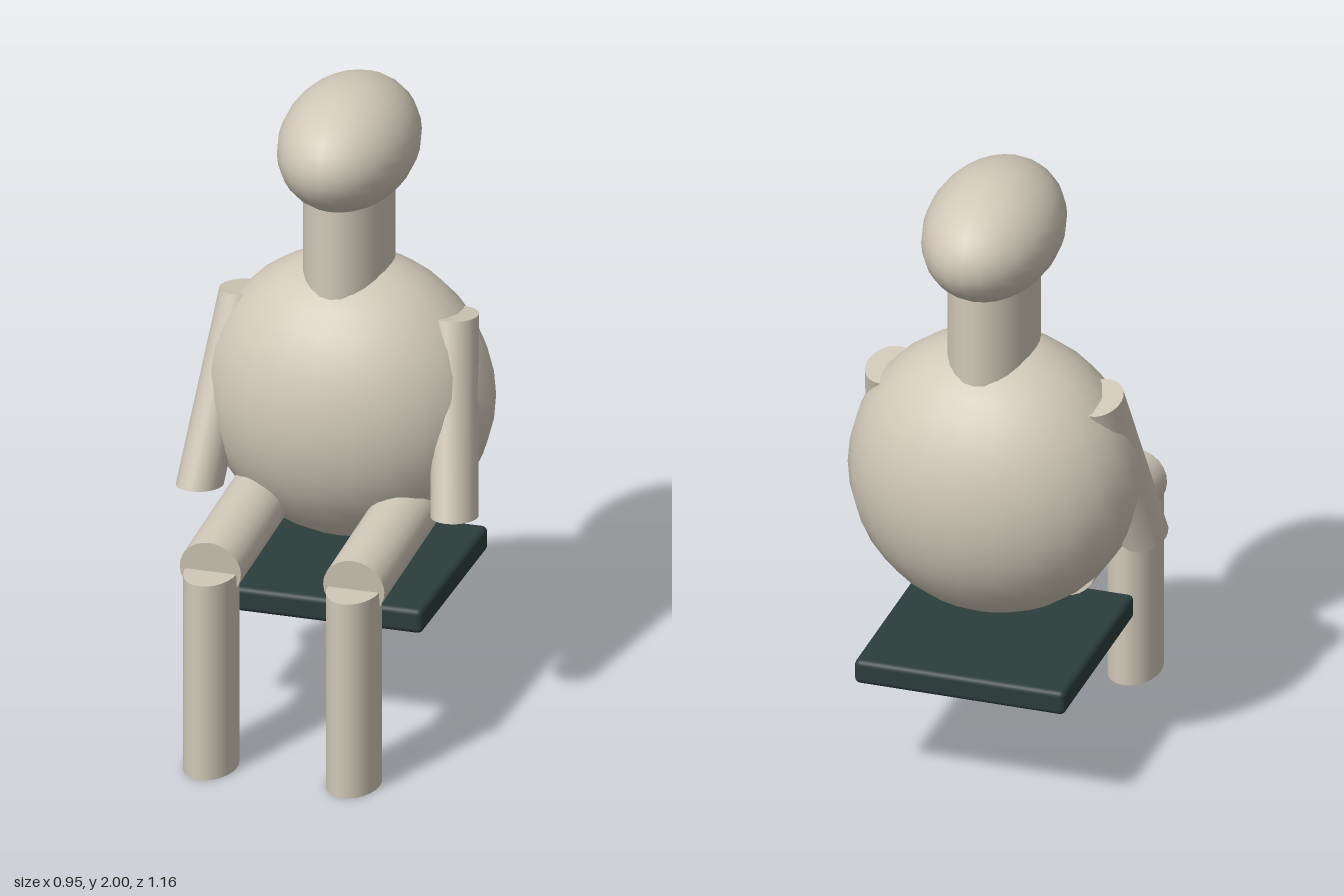
import * as THREE from 'three';
import { RoundedBoxGeometry } from 'three/addons/geometries/RoundedBoxGeometry.js';

const V = (x, y, z) => new THREE.Vector3(x, y, z);

export function createModel() {
  const group = new THREE.Group();
  const clay = new THREE.MeshStandardMaterial({ name: 'warm beige', color: 0xd0c8b8 });
  const dark = new THREE.MeshStandardMaterial({ name: 'dark teal', color: 0x2b3d3c });

  function add(name, geometry, material = clay) {
    const mesh = new THREE.Mesh(geometry, material);
    mesh.name = name;
    group.add(mesh);
    return mesh;
  }

  function ellipsoid(name, centre, rx, ry, rz) {
    add(name, new THREE.SphereGeometry(1, 24, 18).scale(rx, ry, rz)).position.copy(centre);
  }

  // Elliptical cylinder from a to b; u and w are the half axes of its end caps
  function limb(name, a, b, u, w) {
    const matrix = new THREE.Matrix4().makeBasis(u, b.clone().sub(a), w);
    matrix.setPosition(a.clone().add(b).multiplyScalar(0.5));
    add(name, new THREE.CylinderGeometry(1, 1, 1, 24).applyMatrix4(matrix));
  }

  // Torso, neck and head share one vertical axis
  ellipsoid('torso', V(0, 0.985, -0.212), 0.45, 0.455, 0.368);
  limb('neck', V(0, 1.2, -0.212), V(0, 1.7, -0.212), V(0.133, 0, 0), V(0, 0, 0.2));
  ellipsoid('head', V(0, 1.805, -0.212), 0.208, 0.195, 0.314);

  // Paired limbs
  for (const [side, s] of [['left', 1], ['right', -1]]) {
    limb(side + 'Arm', V(s * 0.403, 0.715, 0.012), V(s * 0.335, 1.28, -0.21),
      V(0.07, 0, 0), V(0, 0.015, 0.097));
    limb(side + 'Thigh', V(s * 0.227, 0.69, -0.215), V(s * 0.227, 0.645, 0.466),
      V(0.097, 0, 0), V(0, -0.094, -0.011));
    limb(side + 'LowerLeg', V(s * 0.226, 0, 0.46), V(s * 0.226, 0.64, 0.46),
      V(0.081, 0, 0), V(0, 0, 0.121));
  }

  // Floating seat board with softened edges
  add('seat', new RoundedBoxGeometry(0.67, 0.08, 0.675, 3, 0.018), dark).position.set(0, 0.4, -0.212);

  return group;
}
